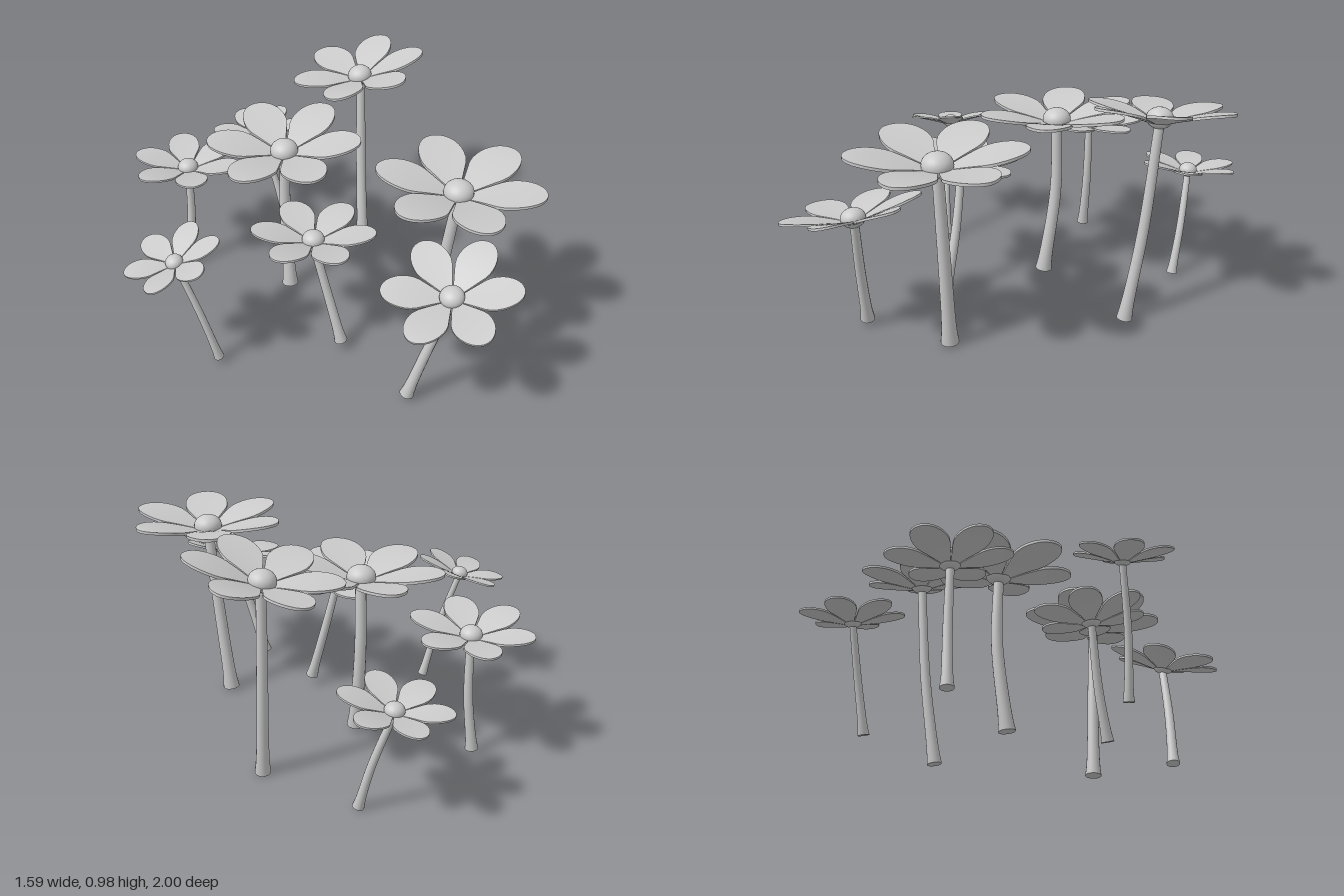
import * as THREE from 'three';

const material = new THREE.MeshStandardMaterial({ color: 0xcccccc });

// base, bend and head: points on the stem; r: flower radius;
// turn: petal rotation in degrees; slope: rise of the head along x and z
const flowers = [
  { base: [0.2, 0.015, -0.7], bend: [0.165, 0.22, -0.745], head: [0.105, 0.445, -0.795], r: 0.215, turn: 30, slope: [0.11, 0.11] },
  { base: [-0.38, 0.03, -0.51], bend: [-0.35, 0.28, -0.51], head: [-0.345, 0.535, -0.51], r: 0.25, turn: 18, slope: [0, 0.08] },
  { base: [0.47, 0.01, -0.34], bend: [0.475, 0.41, -0.4], head: [0.475, 0.85, -0.44], r: 0.295, turn: 42, slope: [0.18, 0.11] },
  { base: [0, 0.03, -0.16], bend: [0, 0.41, -0.21], head: [0, 0.705, -0.21], r: 0.33, turn: 30, slope: [0.067, 0] },
  { base: [-0.47, 0.03, 0.16], bend: [-0.53, 0.28, 0.14], head: [-0.6, 0.535, 0.095], r: 0.2, turn: 46, slope: [0.29, 0.07] },
  { base: [0.04, 0.05, 0.3], bend: [0, 0.28, 0.245], head: [-0.05, 0.54, 0.2], r: 0.255, turn: 30, slope: [-0.02, 0.1] },
  { base: [0.41, 0.015, 0.39], bend: [0.44, 0.4, 0.41], head: [0.465, 0.77, 0.43], r: 0.335, turn: 18, slope: [0, 0] },
  { base: [0.16, 0.03, 0.67], bend: [0.22, 0.28, 0.695], head: [0.295, 0.53, 0.715], r: 0.27, turn: 26, slope: [0.25, -0.1] },
];

// Half width of a unit petal at distance t from the flower's centre
function petalHalfWidth(t) {
  if (t < 0.5) return 0.532 * t;
  return 0.28 * Math.sqrt(Math.max(0.002, 1 - ((t - 0.62) / 0.38) ** 2));
}

// Unit petal along +x: a thin slab, rounded in outline and curving upward
function makePetalGeometry() {
  const geometry = new THREE.BoxGeometry(1, 1, 1, 16, 1, 6);
  const p = geometry.attributes.position;
  for (let i = 0; i < p.count; i++) {
    const t = Math.sin((p.getX(i) + 0.5) * Math.PI / 2);
    const across = p.getZ(i) * 2;
    const rise = 0.24 * (1 - (1 - t) ** 1.5);
    const cup = 0.02 * across * across * t * (1 - t);
    p.setXYZ(i, t, rise + cup + p.getY(i) * 0.035, across * petalHalfWidth(t));
  }
  geometry.computeVertexNormals();
  return geometry;
}

// Bent stem, flared at the foot
function makeStem(curve, r) {
  const rings = 20, sides = 16;
  const stem = new THREE.Group();
  stem.name = 'stem';
  const geometry = new THREE.TubeGeometry(curve, rings, 1, sides);
  const radiusAt = (t) => r * (0.066 + 0.02 * (1 - t) + 0.026 * Math.exp(-t * 14));
  const p = geometry.attributes.position;
  const v = new THREE.Vector3();
  for (let i = 0; i < p.count; i++) {
    const t = Math.floor(i / (sides + 1)) / rings;
    const centre = curve.getPointAt(t);
    v.fromBufferAttribute(p, i).sub(centre).multiplyScalar(radiusAt(t)).add(centre);
    p.setXYZ(i, v.x, v.y, v.z);
  }
  const stalk = new THREE.Mesh(geometry, material);
  stalk.name = 'stalk';

  // Disc closing the foot
  const foot = new THREE.Mesh(new THREE.CircleGeometry(radiusAt(0), sides), material);
  foot.name = 'stemFoot';
  foot.position.copy(curve.getPointAt(0));
  foot.quaternion.setFromUnitVectors(new THREE.Vector3(0, 0, 1), curve.getTangentAt(0).negate());
  stem.add(stalk, foot);
  return stem;
}

// Six petals around a slightly flattened ball, tilted to the given slope
function makeHead({ head, r, turn, slope }, petalGeometry, ballGeometry) {
  const group = new THREE.Group();
  group.name = 'flowerHead';
  for (let i = 0; i < 6; i++) {
    const petal = new THREE.Mesh(petalGeometry, material);
    petal.name = 'petal';
    petal.rotation.y = THREE.MathUtils.degToRad(turn + i * 60);
    group.add(petal);
  }
  const ball = new THREE.Mesh(ballGeometry, material);
  ball.name = 'flowerCentre';
  ball.scale.set(0.18, 0.145, 0.18);
  ball.position.y = 0.1;
  group.add(ball);

  group.scale.setScalar(r);
  group.position.fromArray(head);
  const normal = new THREE.Vector3(-slope[0], 1, -slope[1]).normalize();
  group.quaternion.setFromUnitVectors(new THREE.Vector3(0, 1, 0), normal);
  return group;
}

export function createModel() {
  const model = new THREE.Group();
  model.name = 'flowerPatch';
  const petalGeometry = makePetalGeometry();
  const ballGeometry = new THREE.SphereGeometry(1, 24, 16);
  for (const spec of flowers) {
    const points = [spec.base, spec.bend, spec.head].map((q) => new THREE.Vector3(...q));
    const flower = new THREE.Group();
    flower.name = 'flower';
    flower.add(makeStem(new THREE.CatmullRomCurve3(points), spec.r));
    flower.add(makeHead(spec, petalGeometry, ballGeometry));
    model.add(flower);
  }
  return model;
}
